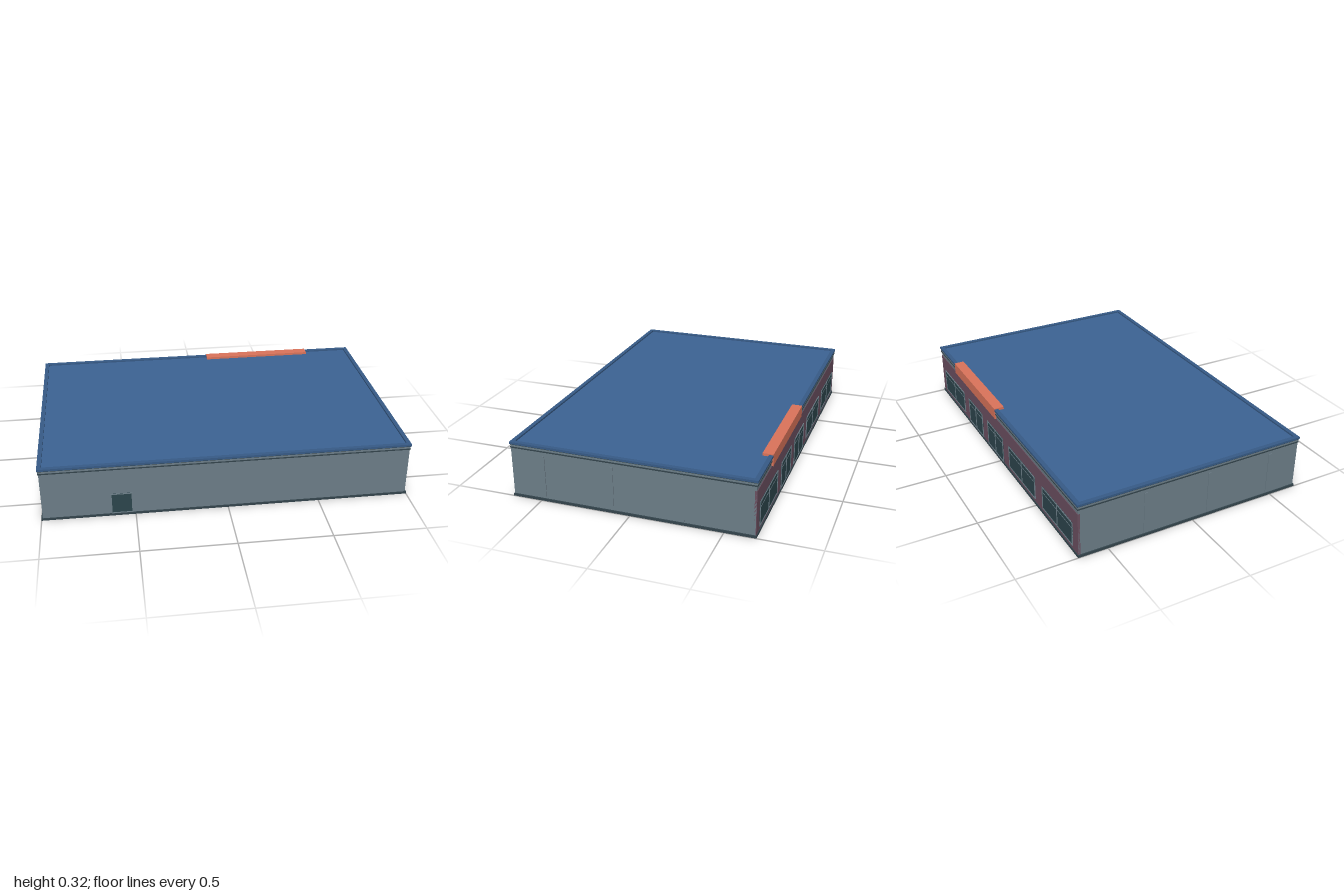
import * as THREE from 'three';

const paint = (color) => new THREE.MeshStandardMaterial({ color });
const mats = {
  wall: paint(0x6c7d87), brick: paint(0x6b4f60), roof: paint(0x3c6293), coping: paint(0x365a86),
  trim: paint(0x33444c), glass: paint(0x2c454c), frame: paint(0x6c7d87), sign: paint(0xd9735a),
};

// Box given by its lower and upper corner
function block(parent, name, mat, [x0, y0, z0], [x1, y1, z1]) {
  const mesh = new THREE.Mesh(new THREE.BoxGeometry(x1 - x0, y1 - y0, z1 - z0), mats[mat]);
  mesh.position.set((x0 + x1) / 2, (y0 + y1) / 2, (z0 + z1) / 2);
  mesh.name = name;
  parent.add(mesh);
  return mesh;
}

// Rectangular ring lying flat, used for the roof edge
function ring(parent, name, mat, hx, hz, width, y0, y1) {
  const shape = new THREE.Shape([[-hx, -hz], [hx, -hz], [hx, hz], [-hx, hz]].map((p) => new THREE.Vector2(...p)));
  const ix = hx - width, iz = hz - width;
  shape.holes.push(new THREE.Path([[-ix, -iz], [-ix, iz], [ix, iz], [ix, -iz]].map((p) => new THREE.Vector2(...p))));
  const geo = new THREE.ExtrudeGeometry(shape, { depth: y1 - y0, bevelEnabled: false });
  geo.rotateX(-Math.PI / 2).translate(0, y0, 0);
  const mesh = new THREE.Mesh(geo, mats[mat]);
  mesh.name = name;
  parent.add(mesh);
}

// Framed opening on the z = 0 plane facing +z; x is centred, panes split by mullions
function opening(name, width, y0, y1, panes, transom) {
  const g = new THREE.Group();
  g.name = name;
  const h = width / 2, t = 0.005;
  block(g, 'glass', 'glass', [-h, y0, -0.005], [h, y1, 0.001]);
  for (let i = 0; i <= panes; i++) {
    const x = -h + t / 2 + (i * (width - t)) / panes;
    block(g, 'mullion', 'frame', [x - t / 2, y0, -0.004], [x + t / 2, y1, 0.004]);
  }
  block(g, 'headRail', 'frame', [-h, y1 - t, -0.004], [h, y1, 0.0035]);
  block(g, 'sillRail', 'frame', [-h, y0, -0.004], [h, y0 + t, 0.0035]);
  if (transom) block(g, 'transom', 'frame', [-h, transom, -0.004], [h, transom + 0.003, 0.0025]);
  return g;
}

export function createModel() {
  const model = new THREE.Group();
  model.name = 'retailBuilding';

  // Main shell and base course
  block(model, 'plinth', 'trim', [-1, 0, -0.666], [1, 0.013, 0.666]);
  block(model, 'walls', 'wall', [-0.993, 0.013, -0.659], [0.993, 0.303, 0.662]);
  block(model, 'backFacade', 'brick', [-0.993, 0.013, -0.662], [0.993, 0.256, -0.65]);

  // Roof deck, dark trim lines and raised coping
  block(model, 'roofDeck', 'roof', [-0.98, 0.29, -0.647], [0.98, 0.306, 0.647]);
  ring(model, 'lowerTrim', 'trim', 0.997, 0.664, 0.02, 0.281, 0.288);
  ring(model, 'fascia', 'wall', 0.995, 0.663, 0.02, 0.288, 0.299);
  ring(model, 'upperTrim', 'trim', 0.997, 0.664, 0.02, 0.299, 0.303);
  ring(model, 'coping', 'coping', 1, 0.667, 0.023, 0.303, 0.315);

  // Thin panel joints on both side walls
  for (const side of [-1, 1]) {
    for (const z of [0.48, 0.097, -0.283]) {
      const rib = block(model, 'panelJoint', 'wall', [-0.004, 0.018, z - 0.009], [0.004, 0.26, z + 0.009]);
      rib.position.x = side * 0.993;
    }
  }

  // Service door at the front
  const door = opening('serviceDoor', 0.115, 0.014, 0.135, 1, 0);
  door.position.set(-0.572, 0, 0.663);
  model.add(door);

  // Shop windows and entrance doors along the back: centre x, width, sill height
  const bays = [
    ['window', 0.76, 0.355, 0.033], ['entranceDoor', 0.386, 0.225, 0.016], ['entranceDoor', 0.072, 0.235, 0.016],
    ['window', -0.311, 0.355, 0.033], ['window', -0.76, 0.355, 0.033],
  ];
  for (const [name, x, width, sill] of bays) {
    const bay = opening(name, width, sill, 0.171, 2, 0.136);
    bay.position.set(x, 0, -0.663);
    bay.rotation.y = Math.PI;
    model.add(bay);
  }

  // Plain sign box wrapped over the back roof edge
  block(model, 'signBox', 'sign', [0.048, 0.255, -0.668], [0.712, 0.32, -0.61]);
  return model;
}
